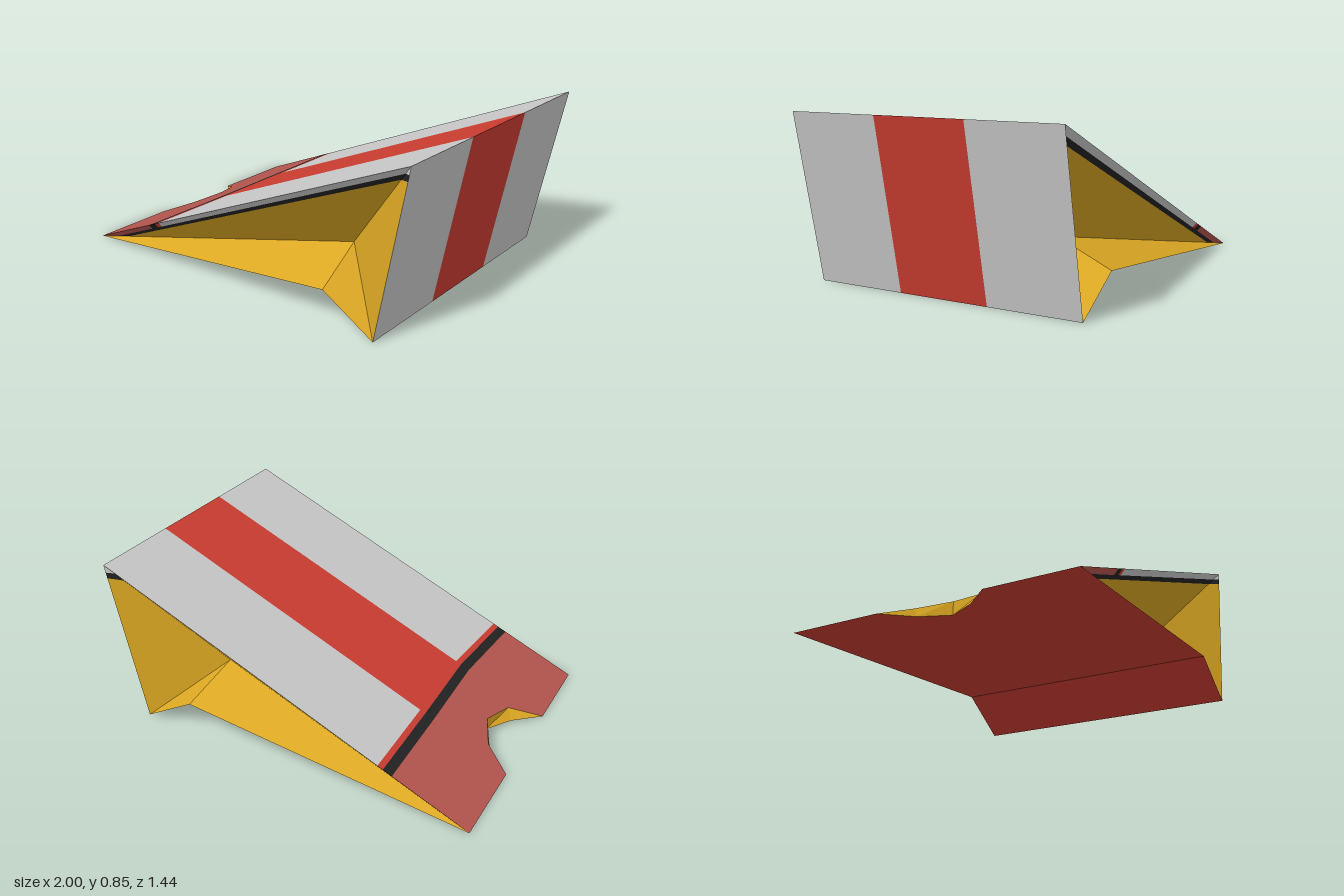
import * as THREE from 'three';

export function createModel() {
  const model = new THREE.Group();
  const paint = (name, color) => {
    const m = new THREE.MeshStandardMaterial({ color });
    m.name = name;
    return m;
  };
  const grey = paint('light grey', 0xcacaca);
  const red = paint('red', 0xcc3d31);
  const faded = paint('faded red', 0xb5564f);
  const black = paint('black', 0x222222);
  const yellow = paint('yellow', 0xdca823);

  // A flat polygon drawn in 2D, mapped into space and turned to face outward
  function panel(name, material, pts, map, outward, parent = model) {
    const v = pts.map(([a, b]) => new THREE.Vector3(...map(a, b)));
    const tris = THREE.ShapeUtils.triangulateShape(pts.map(p => new THREE.Vector2(...p)), []);
    const sum = new THREE.Vector3();
    for (const [a, b, c] of tris) {
      sum.add(v[b].clone().sub(v[a]).cross(v[c].clone().sub(v[a])));
    }
    const flip = sum.dot(new THREE.Vector3(...outward)) < 0;
    const pos = [];
    for (const t of tris) for (const i of flip ? [t[0], t[2], t[1]] : t) pos.push(...v[i].toArray());
    const g = new THREE.BufferGeometry();
    g.setAttribute('position', new THREE.Float32BufferAttribute(pos, 3));
    g.computeVertexNormals();
    const mesh = new THREE.Mesh(g, material);
    mesh.name = name;
    parent.add(mesh);
  }

  // Wedge profile in (x, y); F is the point pinched in on each side
  const W = 0.72, S = 0.24, INSET = 0.3;
  const A = [-1, 0], D = [1, 0.85], C = [0.83, 0], E = [0.55, 0.165], F = [0.5, 0.28];
  const topAt = (x, z) => [x, 0.425 * (x + 1), z];
  const baseAt = (x, z) => [x, (0.165 / 1.55) * (x + 1), z];
  const endAt = (y, z) => [0.83 + 0.2 * y, y, z];
  const heelAt = (x, z) => [x, 0.165 * (0.83 - x) / 0.28, z];
  const up = [0, 1, 0], down = [0, -1, 0];

  // Top surface: front tip with notch, cross stripe, centre band, side fields
  const notchTop = [[-1, -0.26], [-0.86, -0.155], [-0.79, 0], [-0.84, 0.17], [-1, 0.275]];
  const notchBase = [[-1, -0.26], [-0.865, -0.14], [-0.79, 0], [-0.872, 0.14], [-1, 0.275]];
  const wave = [[-0.605, -W], [-0.595, -S], [-0.58, S], [-0.605, W]];
  const shift = d => wave.map(([x, z]) => [x + d, z]);
  const w1 = shift(0.047), w2 = shift(0.075);
  panel('topTip', faded, [[-1, -W], ...notchTop, [-1, W], ...[...wave].reverse()], topAt, up);
  panel('crossStripe', black, [...wave, ...[...w1].reverse()], topAt, up);
  panel('crossBand', red, [...w1, ...[...w2].reverse()], topAt, up);
  panel('centreBand', red, [w2[1], w2[2], [1, S], [1, -S]], topAt, up);
  panel('topFieldBack', grey, [w2[0], w2[1], [1, -S], [1, -W]], topAt, up);
  panel('topFieldFront', grey, [w2[2], w2[3], [1, W], [1, S]], topAt, up);

  // Tall end face with a red centre band
  for (const [name, m, a, b] of [['endBack', grey, -W, -S], ['endBand', red, -S, S], ['endFront', grey, S, W]]) {
    panel(name, m, [[0, a], [0, b], [0.85, b], [0.85, a]], endAt, [1, 0, 0]);
  }

  // Underside and heel
  panel('underside', red, [[-1, -W], ...notchBase, [-1, W], [E[0], W], [E[0], -W]], baseAt, down);
  panel('heel', red, [[E[0], -W], [E[0], W], [C[0], W], [C[0], -W]], heelAt, down);

  // Walls of the notch
  for (let i = 0; i < 4; i++) {
    const top = [notchTop[i], notchTop[i + 1]], base = [notchBase[i], notchBase[i + 1]];
    panel('notchWall', yellow, [[0, 0], [1, 0], [1, 1], [0, 1]],
      (t, s) => (s ? topAt(...top[t]) : baseAt(...base[t])), [-1, 0, 0]);
  }

  // Pinched sides, mirrored: each facet slopes from an outer edge p-q in to F
  for (const side of [1, -1]) {
    const flank = new THREE.Group();
    flank.name = side > 0 ? 'frontFlank' : 'backFlank';
    model.add(flank);
    const facet = (p, q) => {
      const off = (x, y) => (q[0] - p[0]) * (y - p[1]) - (q[1] - p[1]) * (x - p[0]);
      const full = off(...F);
      return (x, y) => [x, y, side * (W - INSET * off(x, y) / full)];
    };
    const add = (name, m, pts, map) => panel(name, m, pts, map, [0, 0, side], flank);

    // Upper facet with trim lines running below the top edge
    const upper = facet(A, D);
    const g0 = [-0.89, 0.0205], g1 = [0.958, 0.802], b0 = [-0.82, 0.0336], b1 = [0.923, 0.762];
    const edge = x => [x, 0.425 * (x + 1)];
    const line = x => [x, g0[1] + (x - g0[0]) * (g1[1] - g0[1]) / (g1[0] - g0[0])];
    add('upperFacet', yellow, [b0, F, b1], upper);
    add('trimLine', black, [g0, b0, b1, g1], upper);
    add('trimTip', faded, [A, g0, line(-0.605), edge(-0.605)], upper);
    add('trimCross', black, [edge(-0.605), line(-0.605), line(-0.558), edge(-0.558)], upper);
    add('trimRed', red, [edge(-0.558), line(-0.558), line(-0.53), edge(-0.53)], upper);
    add('trimGrey', grey, [edge(-0.53), line(-0.53), g1, D], upper);

    // Rear facet, with the trim wrapping round its top corner
    const rear = facet(C, D);
    const c1 = [0.992, 0.81], c2 = [0.986, 0.78];
    add('rearTrimGrey', grey, [g1, c1, D], rear);
    add('rearTrimLine', black, [b1, c2, c1, g1], rear);
    add('rearFacet', yellow, [F, C, c2, b1], rear);

    // Lower facets
    add('lowerFacet', yellow, [A, E, F], facet(A, E));
    add('heelFacet', yellow, [E, C, F], facet(E, C));
  }
  return model;
}
